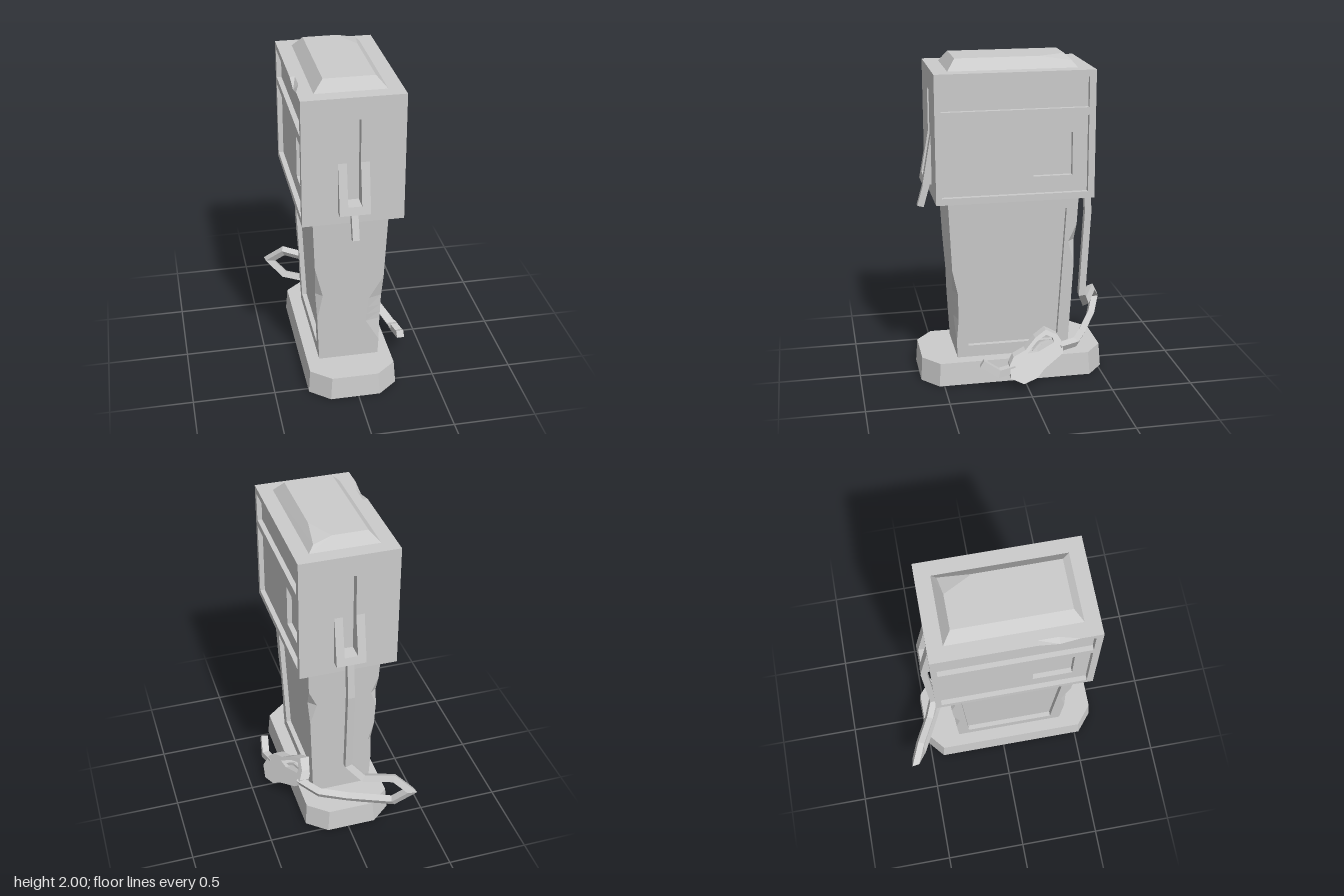
import * as THREE from 'three';
import { ConvexGeometry } from 'three/addons/geometries/ConvexGeometry.js';

const material = new THREE.MeshStandardMaterial({ color: 0xcccccc, flatShading: true });
const V = (x, y, z) => new THREE.Vector3(x, y, z);

function mesh(name, geometry, parent) {
  const m = new THREE.Mesh(geometry, material);
  m.name = name;
  parent.add(m);
  return m;
}

// Flat-faced skin over rings of points; skip lists the strips left open
function loft(rings, skip = []) {
  const p = [], n = rings[0].length;
  const tri = (...v) => v.forEach(q => p.push(q.x, q.y, q.z));
  for (let i = 0; i < rings.length - 1; i++) {
    for (let j = 0; j < n; j++) {
      if (skip.includes(j)) continue;
      const k = (j + 1) % n, a = rings[i], b = rings[i + 1];
      tri(a[j], a[k], b[k]);
      tri(a[j], b[k], b[j]);
    }
  }
  const first = rings[0], last = rings[rings.length - 1];
  for (let j = 1; j < n - 1; j++) {
    tri(first[0], first[j + 1], first[j]);
    tri(last[0], last[j], last[j + 1]);
  }
  const g = new THREE.BufferGeometry();
  g.setAttribute('position', new THREE.Float32BufferAttribute(p, 3));
  g.computeVertexNormals();
  return g;
}

// Rectangle with four cut corners: [cx, cz] for (+x+z), (+x-z), (-x-z), (-x+z)
function cutRect(y, hx, hz, cuts) {
  const [a, b, c, d] = cuts;
  return [
    V(hx - a[0], y, hz), V(hx, y, hz - a[1]), V(hx, y, b[1] - hz), V(hx - b[0], y, -hz),
    V(c[0] - hx, y, -hz), V(-hx, y, c[1] - hz), V(-hx, y, hz - d[1]), V(d[0] - hx, y, hz),
  ];
}

// Square bar along a path with mitred bends
function bar(points, width) {
  const P = points.map(q => V(...q)), h = width / 2;
  let d = P[1].clone().sub(P[0]).normalize();
  const n = V(1, 0, 0).addScaledVector(d, -d.x).normalize();
  const b = d.clone().cross(n);
  const rings = P.map((p, i) => {
    const next = i < P.length - 1 ? P[i + 1].clone().sub(p).normalize() : d.clone();
    const t = d.clone().add(next).normalize();
    const ring = [[1, 1], [-1, 1], [-1, -1], [1, -1]].map(([s, r]) => {
      const o = n.clone().multiplyScalar(s * h).addScaledVector(b, r * h);
      return o.addScaledVector(d, -o.dot(t) / d.dot(t)).add(p);
    });
    if (next.distanceTo(d) > 1e-6) { n.reflect(t); b.reflect(t); }
    d = next;
    return ring;
  });
  return loft(rings);
}

// Plate with holes, reshaped by a rule, then turned to face its side
function plate(outline, holes, depth, turn, rule) {
  const shape = new THREE.Shape(outline.map(q => new THREE.Vector2(...q)));
  holes.forEach(h => shape.holes.push(new THREE.Path(h.map(q => new THREE.Vector2(...q)))));
  const g = new THREE.ExtrudeGeometry(shape, { depth, bevelEnabled: false });
  const pos = g.attributes.position, v = V(0, 0, 0);
  for (let i = 0; i < pos.count; i++) {
    rule(v.fromBufferAttribute(pos, i));
    pos.setXYZ(i, v.x, v.y, v.z);
  }
  g.rotateY(turn);
  g.computeVertexNormals();
  return g;
}

const rect = (x0, y0, x1, y1) => [[x0, y0], [x1, y0], [x1, y1], [x0, y1]];

// Chips along the four upright edges of the pedestal: [y, cx, cz]
const chips = [
  [[0.25, 0, 0], [0.4, 0.09, 0.02], [0.57, 0.08, 0.025], [0.72, 0, 0]],
  [[0.73, 0, 0], [0.87, 0.045, 0.045], [0.98, 0, 0]],
  [[0.38, 0, 0], [0.5, 0.03, 0.03], [0.63, 0, 0], [0.79, 0, 0], [0.89, 0.04, 0.03], [1, 0, 0]],
  [[0.45, 0, 0], [0.62, 0.04, 0.04], [0.82, 0, 0]],
];
function chipAt(list, y) {
  for (let i = 0; i < list.length - 1; i++) {
    const [a, b] = [list[i], list[i + 1]];
    if (y >= a[0] && y <= b[0]) {
      const t = (y - a[0]) / (b[0] - a[0]);
      return [a[1] + (b[1] - a[1]) * t, a[2] + (b[2] - a[2]) * t];
    }
  }
  return [0, 0];
}

function addPedestal(g) {
  const foot = Array(4).fill([0.12, 0.1]);
  mesh('base', loft([cutRect(0, 0.2725, 0.575, foot), cutRect(0.145, 0.262, 0.565, foot)]), g);

  const hx = y => 0.185 + 0.04 * (y - 0.145) / 1.02;
  const hz = y => 0.348 + 0.05 * (y - 0.145) / 1.02;
  const levels = [...new Set([0.14, 1.17, ...chips.flat().map(c => c[0])])].sort((a, b) => a - b);
  const rings = levels.map(y => cutRect(y, hx(y), hz(y), chips.map(c => chipAt(c, y))));
  mesh('pedestal', loft(rings, [1, 5]), g);

  // Long sides: a frame around a sunken panel
  const hole = [[-0.28, 0.22], [0.28, 0.22], [0.325, 1.085], [-0.325, 1.085]];
  for (const s of [1, -1]) {
    const [l, r] = s > 0 ? [1, 2] : [5, 6];
    const outline = [
      ...rings.map(q => [-s * q[r].z, q[r].y]),
      ...rings.map(q => [-s * q[l].z, q[l].y]).reverse(),
    ];
    const turn = s * Math.PI / 2;
    mesh('pedestalFrame', plate(outline, [hole], 0.03, turn, v => { v.z += hx(v.y) - 0.03; }), g);
    mesh('pedestalPanel', plate(hole, [], 0.01, turn, v => { v.z += hx(v.y) - 0.04; }), g);
  }
}

function addHead(g) {
  const X = 0.297, Z = 0.475, y0 = 1.165, y1 = 1.935;
  const core = mesh('headCore', new THREE.BoxGeometry(2 * X - 0.12, y1 - y0, 2 * Z - 0.1), g);
  core.position.y = (y0 + y1) / 2;

  // Display sides: two sunken panels, the lower one with a deeper window
  const panels = [rect(-0.44, 1.715, 0.435, 1.895), rect(-0.44, 1.205, 0.435, 1.67)];
  const full = rect(-Z, y0, Z, y1);
  const notched = [...full.slice(0, 3), [0.345, y1], [0.235, y1 - 0.03], [0.115, y1], full[3]];
  for (const s of [1, -1]) {
    const turn = s * Math.PI / 2;
    mesh('displayFrame', plate(s > 0 ? full : notched, panels, 0.03, turn, v => {
      if (Math.abs(v.x - 0.235) < 1e-4 && v.z < 0.01) v.y = y1;
      v.z += X - 0.03;
    }), g);
    mesh('displayPanel', plate(full, [rect(0.11, 1.305, 0.345, 1.565)], 0.03, turn,
      v => { v.z += X - 0.06; }), g);
  }

  // Hose ends: a slot above a wedge-shaped holder
  const holder = [[-0.09, 1.24], [0.09, 1.24], [0.09, 1.545], [0.04, 1.545],
    [0.04, 1.29], [-0.04, 1.29], [-0.04, 1.545], [-0.09, 1.545]];
  for (const turn of [0, Math.PI]) {
    mesh('slotWall', plate(rect(0.06 - X, y0, X - 0.06, y1), [rect(-0.04, 1.29, 0.04, 1.805)],
      0.05, turn, v => { v.z += Z - 0.05; }), g);
    mesh('nozzleHolder', plate(holder, [], 0.055, turn,
      v => { v.z = Z + v.z * (1.545 - v.y) / 0.305; }), g);
  }

  // Bevelled cap with one broken corner
  const cap = [];
  for (const sx of [-1, 1]) for (const sz of [-1, 1]) {
    cap.push(V(sx * 0.208, y1, sz * 0.385));
    if (sx < 0 || sz > 0) cap.push(V(sx * 0.149, 2, sz * 0.335));
  }
  cap.push(V(0.06, 2, -0.335), V(0.149, 2, -0.165), V(0.175, 1.972, -0.355));
  mesh('cap', new ConvexGeometry(cap), g);
}

function addHoses(g) {
  mesh('brokenHose', bar([[-0.02, 1.27, 0.54], [-0.02, 1.085, 0.593]], 0.04), g);
  mesh('hose', bar([
    [-0.02, 1.27, -0.437], [-0.02, 1, -0.458], [-0.02, 0.44, -0.428], [-0.11, 0.345, -0.475],
    [-0.28, 0.37, -0.56], [-0.375, 0.285, -0.61], [-0.28, 0.185, -0.56], [-0.02, 0.168, -0.43],
    [0.14, 0.175, -0.35], [0.24, 0.195, -0.22],
  ], 0.042), g);
}

// Fallen nozzle, leaning outwards against the pedestal
function addNozzle(g) {
  const lean = (z, y) => 0.27 + 0.6 * (0.2 - y) + 0.2 * z;
  const flip = pts => pts.map(([z, y]) => [-z, y]);
  const outline = [[-0.25, 0.215], [-0.22, 0.265], [-0.145, 0.305], [-0.07, 0.27], [0, 0.215],
    [0.08, 0.19], [0.11, 0.15], [0.11, 0.08], [0.07, 0.06], [0.03, 0.04], [-0.06, 0.06],
    [-0.11, 0.1], [-0.24, 0.165]];
  const guard = [[-0.01, 0.195], [-0.08, 0.195], [-0.19, 0.23], [-0.185, 0.255],
    [-0.145, 0.277], [-0.08, 0.25]];
  mesh('nozzleBody', plate(flip(outline), [flip(guard)], 0.06, Math.PI / 2,
    v => { v.z += lean(-v.x, v.y) - 0.03; }), g);
  const path = pts => pts.map(([z, y]) => [lean(z, y), y, z]);
  mesh('trigger', bar(path([[-0.05, 0.19], [-0.1, 0.225], [-0.16, 0.235]]), 0.015), g);
  mesh('spout', bar(path([[0.08, 0.12], [0.18, 0.11], [0.28, 0.175]]), 0.045), g);
}

export function createModel() {
  const model = new THREE.Group();
  model.name = 'fuelPump';
  const cabinet = new THREE.Group();
  cabinet.name = 'cabinet';
  cabinet.position.set(-0.02, 0, 0.055);
  model.add(cabinet);
  addPedestal(cabinet);
  addHead(cabinet);
  addHoses(model);
  addNozzle(model);
  return model;
}
